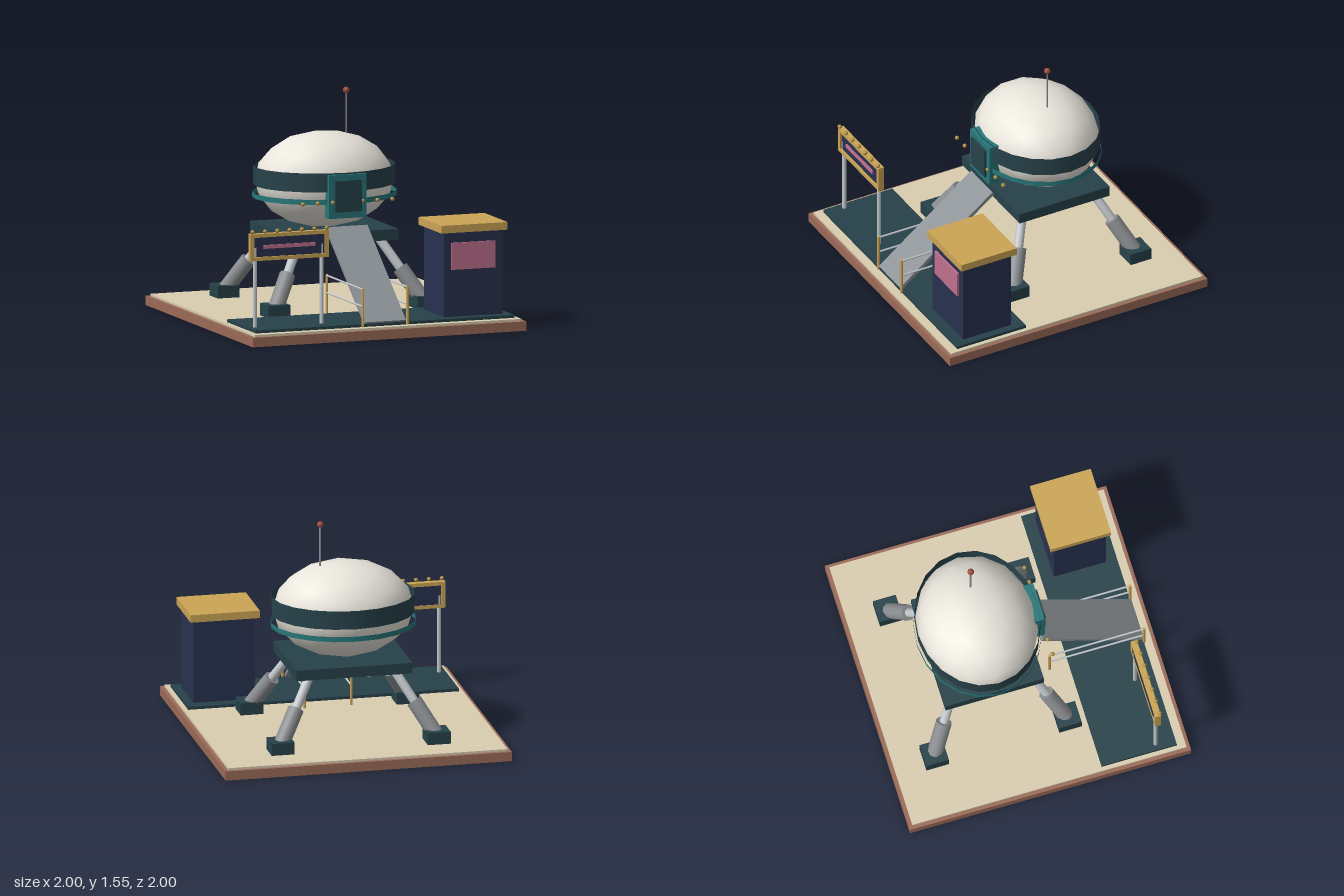
import * as THREE from 'three';

const mat = (color, extra = {}) => new THREE.MeshStandardMaterial({ color, ...extra });
const M = {
  brick: mat(0x9c6b58), sand: mat(0xdacdb0), teal: mat(0x27424a), navy: mat(0x28324f),
  gold: mat(0xcca556), pink: mat(0xc0708e), shell: mat(0xe9e5dc), trim: mat(0x27777a),
  steel: mat(0xc4c9cd), piston: mat(0x8c8f92), ramp: mat(0x8b9195), red: mat(0xa04a3e),
  bulb: mat(0xb08f45, { flatShading: true }),
  band: mat(0x27424a, { side: THREE.DoubleSide }),
  ring: mat(0x27777a, { side: THREE.DoubleSide }),
};
const CZ = -0.217; // centre of the raised pod in z

export function createModel() {
  const root = new THREE.Group();

  const add = (name, geo, material, x = 0, y = 0, z = 0, parent = root) => {
    const m = new THREE.Mesh(geo, material);
    m.name = name;
    m.position.set(x, y, z);
    parent.add(m);
    return m;
  };
  // box given by its min and max on each axis
  const box = (name, material, [x0, x1], [y0, y1], [z0, z1], parent) =>
    add(name, new THREE.BoxGeometry(x1 - x0, y1 - y0, z1 - z0), material,
      (x0 + x1) / 2, (y0 + y1) / 2, (z0 + z1) / 2, parent);
  // cylinder between two points
  const rod = (name, material, a, b, r, sides = 8, parent = root) => {
    const A = new THREE.Vector3(...a), B = new THREE.Vector3(...b);
    const d = B.clone().sub(A);
    const m = add(name, new THREE.CylinderGeometry(r, r, d.length(), sides), material, 0, 0, 0, parent);
    m.position.copy(A).add(B).multiplyScalar(0.5);
    m.quaternion.setFromUnitVectors(new THREE.Vector3(0, 1, 0), d.normalize());
    return m;
  };
  const ball = (name, material, r, x, y, z, parent) =>
    add(name, new THREE.IcosahedronGeometry(r, 1), material, x, y, z, parent);
  const group = (name) => {
    const g = new THREE.Group();
    g.name = name;
    root.add(g);
    return g;
  };

  // ground
  box('base', M.brick, [-1, 1], [0, 0.065], [-1, 1]);
  box('sandTop', M.sand, [-0.975, 0.975], [0.065, 0.08], [-0.975, 0.975]);
  box('frontPad', M.teal, [-0.945, 0.945], [0.08, 0.1], [0.38, 0.915]);

  // platform and four splayed legs
  box('platform', M.teal, [-0.405, 0.405], [0.535, 0.61], [CZ - 0.35, CZ + 0.35]);
  for (const sx of [-1, 1]) for (const sz of [-1, 1]) {
    const leg = group('leg');
    const at = (t) => [sx * (0.545 - 0.255 * t), 0.12 + 0.43 * t, CZ + sz * (0.472 - 0.21 * t)];
    rod('legUpper', M.steel, at(0.4), at(1), 0.032, 10, leg);
    rod('legSleeve', M.piston, at(0), at(0.52), 0.055, 10, leg);
    const x = sx * 0.545, z = CZ + sz * 0.4725;
    box('foot', M.teal, [x - 0.08, x + 0.08], [0.08, 0.165], [z - 0.08, z + 0.08], leg);
  }

  // pod with its two open hoops
  const pod = add('pod', new THREE.IcosahedronGeometry(1, 2), M.shell, 0, 0.93, CZ - 0.005);
  pod.scale.set(0.485, 0.33, 0.412);
  const hoop = (name, material, rx, rz, y, h) => {
    const m = add(name, new THREE.CylinderGeometry(1, 1, h, 20, 1, true), material, 0, y, CZ);
    m.scale.set(rx, 1, rz);
  };
  hoop('windowBand', M.band, 0.494, 0.422, 0.965, 0.13);
  hoop('trimRing', M.ring, 0.502, 0.43, 0.832, 0.036);

  // door and running lights
  box('doorFrame', M.trim, [-0.137, 0.137], [0.72, 1.02], [0.14, 0.22]);
  box('doorPanel', M.teal, [-0.098, 0.098], [0.765, 0.98], [0.2, 0.236]);
  for (const s of [-1, 1]) for (const i of [1, 2, 3])
    ball('runningLight', M.bulb, 0.015, s * 0.109 * i, 0.832, 0.217);

  // antenna
  rod('antenna', M.piston, [0.16, 1.2, CZ], [0.16, 1.53, CZ], 0.007);
  ball('antennaTip', M.red, 0.023, 0.16, 1.53, CZ);

  // ramp and handrails
  const ramp = add('ramp', new THREE.BoxGeometry(0.3, 0.025, 0.905), M.ramp, 0, 0.378, 0.555);
  ramp.rotation.x = Math.atan2(0.55, 0.716);
  for (const x of [-0.163, 0.163]) {
    const rail = group('handrail');
    for (const z of [0.245, 0.917]) rod('railPost', M.gold, [x, 0.08, z], [x, 0.345, z], 0.01, 8, rail);
    for (const y of [0.22, 0.338]) rod('railBar', M.steel, [x, y, 0.24], [x, y, 0.92], 0.007, 8, rail);
  }

  // sign board on two poles
  const sign = group('sign');
  const L = -0.94, R = -0.365;
  box('signPanel', M.navy, [L + 0.01, R - 0.01], [0.57, 0.735], [0.766, 0.79], sign);
  for (const y of [0.56, 0.72]) box('signFrameBar', M.gold, [L, R], [y, y + 0.025], [0.762, 0.805], sign);
  for (const x of [L, R - 0.03]) box('signFrameSide', M.gold, [x, x + 0.03], [0.56, 0.745], [0.762, 0.805], sign);
  box('signStripe', M.pink, [-0.84, -0.465], [0.64, 0.665], [0.785, 0.8], sign);
  for (const x of [-0.898, -0.41]) rod('signPole', M.steel, [x, 0, 0.778], [x, 0.65, 0.778], 0.014, 10, sign);
  for (let i = 0; i < 7; i++) ball('signBulb', M.bulb, 0.015, -0.923 + i * 0.0903, 0.76, 0.8, sign);

  // ticket booth
  const booth = group('booth');
  box('boothBody', M.navy, [0.46, 0.89], [0.1, 0.685], [0.465, 0.838], booth);
  box('boothRoof', M.gold, [0.432, 0.915], [0.682, 0.735], [0.435, 0.865], booth);
  box('boothWindow', M.pink, [0.512, 0.832], [0.425, 0.61], [0.82, 0.852], booth);

  return root;
}
